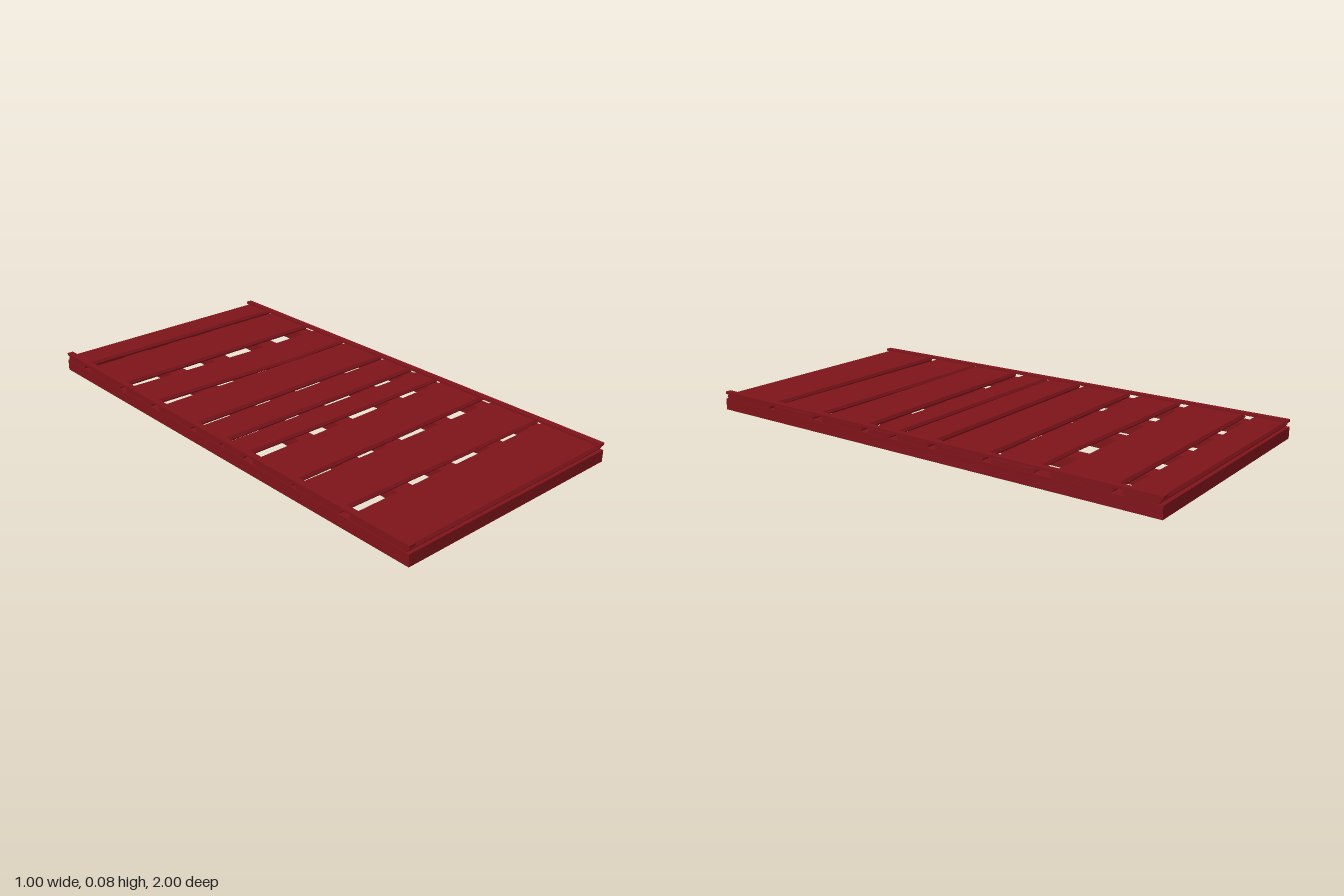
import * as THREE from 'three';

const material = new THREE.MeshStandardMaterial({ color: 0x7d141a, flatShading: true });

// Solid skinned over a row of equal-sized rings, closed at both ends
function loft(name, rings) {
  const pos = [];
  const tri = (...corners) => corners.forEach((p) => pos.push(...p));
  const n = rings[0].length;
  for (let i = 0; i < rings.length - 1; i++) {
    for (let j = 0; j < n; j++) {
      const k = (j + 1) % n;
      tri(rings[i][j], rings[i][k], rings[i + 1][k]);
      tri(rings[i][j], rings[i + 1][k], rings[i + 1][j]);
    }
  }
  const first = rings[0], last = rings[rings.length - 1];
  for (let j = 1; j < n - 1; j++) {
    tri(first[0], first[j + 1], first[j]);
    tri(last[0], last[j], last[j + 1]);
  }
  const geometry = new THREE.BufferGeometry();
  geometry.setAttribute('position', new THREE.Float32BufferAttribute(pos, 3));
  geometry.computeVertexNormals();
  const mesh = new THREE.Mesh(geometry, material);
  mesh.name = name;
  return mesh;
}

function box(name, x0, x1, y0, y1, z0, z1) {
  const mesh = new THREE.Mesh(new THREE.BoxGeometry(x1 - x0, y1 - y0, z1 - z0), material);
  mesh.position.set((x0 + x1) / 2, (y0 + y1) / 2, (z0 + z1) / 2);
  mesh.name = name;
  return mesh;
}

// Plank across the frame with bevelled long edges; stations are [x, zBack, zFront, drop]
function plank(stations) {
  const bevel = 0.007, top = 0.07, mid = 0.059, bottom = 0.05;
  return loft('plank', stations.map(([x, z0, z1, drop = 0]) => [
    [x, top - drop, z1 - bevel], [x, mid - drop / 2, z1], [x, bottom, z1 - bevel],
    [x, bottom, z0 + bevel], [x, mid - drop / 2, z0], [x, top - drop, z0 + bevel],
  ]));
}

// Joist along the frame; stations are [z, xCentre, yBottom]
function joist(stations) {
  const w = 0.036, top = 0.05;
  return loft('joist', stations.map(([z, x, y]) => [
    [x - w, y, z], [x + w, y, z], [x + w, top, z], [x - w, top, z],
  ]));
}

export function createModel() {
  const group = new THREE.Group();
  group.name = 'plankPanel';
  const base = 0.004, deck = 0.05, end = 0.498;

  // Outer frame and the raised strips along both sides
  for (const s of [-1, 1]) {
    const [a, b] = s < 0 ? [-0.5, -0.44] : [0.44, 0.5];
    group.add(box('sideBeam', a, b, base, deck, -1, 1));
    group.add(box('sideCap', s < 0 ? -0.5 : 0.475, s < 0 ? -0.475 : 0.5, 0.07, 0.08, -1, 1));
    group.add(box('endBeam', -0.44, 0.44, base, deck, s < 0 ? -1 : 0.945, s < 0 ? -0.945 : 1));
  }

  // Joists: one straight, one bowed sideways, one sagging
  group.add(joist([[-0.945, -0.225, base], [0.945, -0.225, base]]));
  group.add(joist([
    [-0.945, 0.015, base], [-0.84, 0.01, base], [-0.56, -0.008, base], [-0.34, -0.02, base],
    [0.2, -0.028, base], [0.47, -0.015, base], [0.945, 0, base],
  ]));
  group.add(joist([
    [-0.945, 0.255, base], [-0.36, 0.247, base], [-0.33, 0.246, 0], [-0.27, 0.246, 0],
    [-0.24, 0.247, base], [0.945, 0.25, base],
  ]));

  // Planks, some set askew
  const planks = [
    [[-end, -0.993, -0.862], [end, -0.99, -0.855]],
    [[-end, -0.825, -0.59], [end, -0.825, -0.588]],
    [[-end, -0.55, -0.367], [0.2, -0.525, -0.338, 0.003], [end, -0.53, -0.346, 0.003]],
    [[-end, -0.322, -0.105], [end, -0.32, -0.105]],
    [[-end, -0.08, 0.07], [end, -0.08, 0.07]],
    [[-end, 0.087, 0.204], [end, 0.1, 0.212, 0.003]],
    [[-end, 0.253, 0.464], [end, 0.241, 0.453]],
    [[-end, 0.478, 0.698], [end, 0.495, 0.717, 0.003]],
    [[-end, 0.737, 0.993], [end, 0.737, 0.993]],
  ];
  planks.forEach((stations) => group.add(plank(stations)));

  return group;
}
